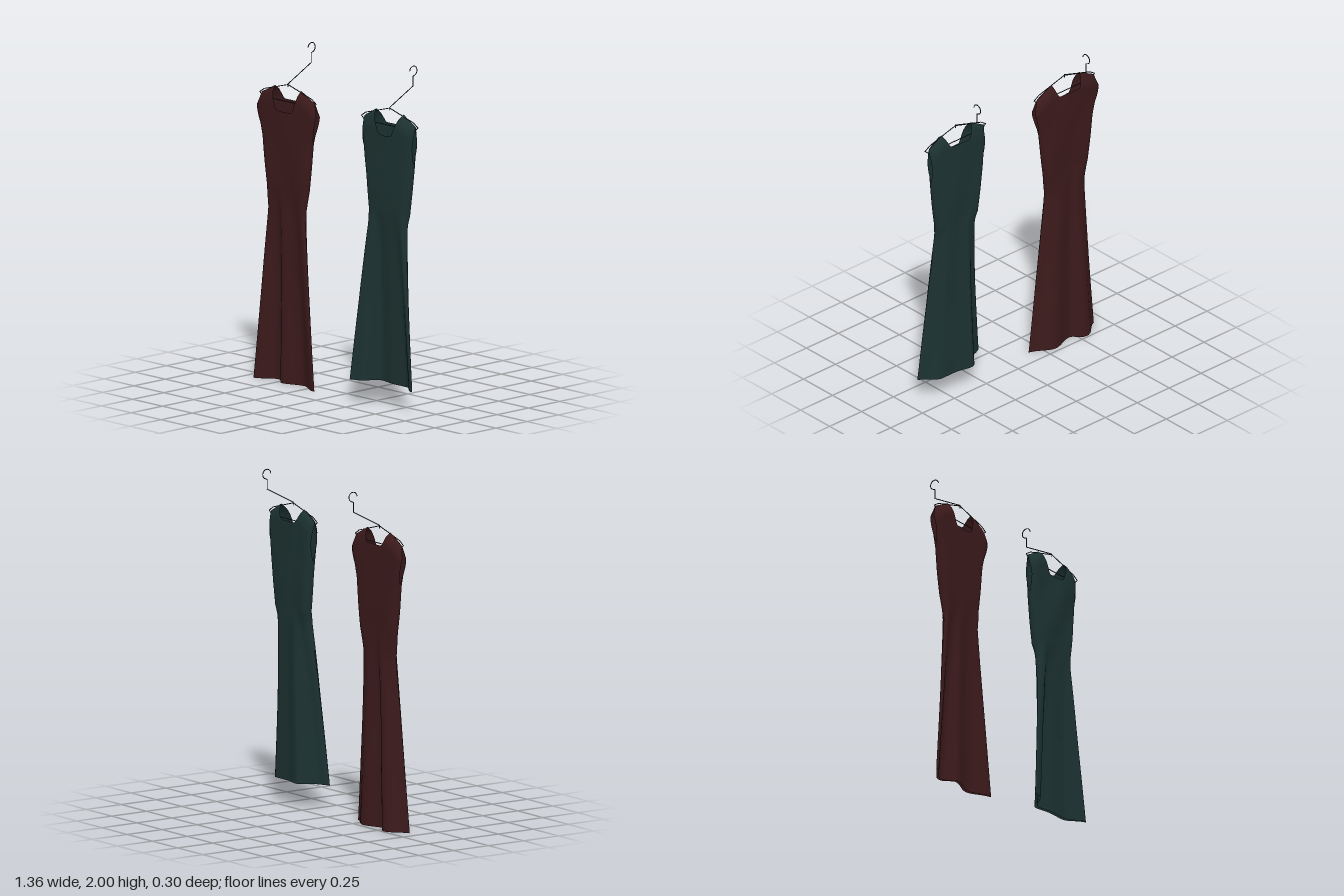
import * as THREE from 'three';
import { mergeGeometries } from 'three/addons/utils/BufferGeometryUtils.js';

const ZC = 0.063; // plane of the hangers and shoulder seams

const material = (name, color, side = THREE.FrontSide) => {
  const m = new THREE.MeshStandardMaterial({ color, side });
  m.name = name;
  return m;
};

const linear = t => t;
const smooth = t => t * t * (3 - 2 * t);

// Lookup in [[key, value], ...], straight or eased between the keys
function lookup(table, k, ease = linear) {
  if (k <= table[0][0]) return table[0][1];
  for (let i = 1; i < table.length; i++) {
    const [a, va] = table[i - 1], [b, vb] = table[i];
    if (k <= b) return va + (vb - va) * ease((k - a) / (b - a));
  }
  return table[table.length - 1][1];
}

// Upper edge height across the half width: neckline, then shoulder slope
const frontTop = [[0, 1.617], [0.27, 1.623], [0.35, 1.665], [0.53, 1.757], [1, 1.7]];
const backTop = [[0, 1.677], [0.33, 1.677], [0.37, 1.69], [0.53, 1.757], [1, 1.7]];
const shoulder = [[0.53, 1.757], [1, 1.7]];

// Half thickness of the dress by height: the skirt hangs almost flat
const thickness = [[0, 0.008], [0.6, 0.014], [1.05, 0.026], [1.3, 0.036]];

// Columns are denser at the neck corners and side seams
const half = [0, 0.05, 0.1, 0.15, 0.2, 0.25, 0.3, 0.35, 0.41, 0.47, 0.53, 0.6, 0.67, 0.74, 0.81, 0.87, 0.92, 0.96, 0.985, 1];
const columns = [...half.slice(1).reverse().map(u => -u), ...half];
const LOWER = 44, UPPER = 18, ARM = 1.42, WAIST = 1.15;

// One cloth panel; sign is +1 for the front and -1 for the back
function panelGeometry(dress, sign) {
  const pos = [], index = [], n = columns.length, rows = LOWER + UPPER;
  for (let r = 0; r <= rows; r++) {
    for (const u of columns) {
      const a = Math.abs(u);
      const top = lookup(sign > 0 ? frontTop : backTop, a);
      const y = r <= LOWER
        ? THREE.MathUtils.lerp(dress.hem, ARM, r / LOWER)
        : THREE.MathUtils.lerp(ARM, top, (r - LOWER) / UPPER);
      // Flat body with rounded sides, opening into armholes
      let f = Math.sqrt(Math.max(0, 1 - a ** 9));
      const t = (y - 1.47) / (1.69 - 1.47);
      if (t > 0 && t < 1) f = Math.max(f, 0.5 * Math.sin(Math.PI * t));
      // Front and back meet along the shoulder seam
      const close = Math.sqrt(THREE.MathUtils.clamp((lookup(shoulder, a) - y) / 0.07, 0, 1));
      // Both layers of the skirt swing together in deep folds towards the hem
      const swing = Math.max(0, (WAIST - y) / (WAIST - dress.hem)) ** 0.6;
      const centre = THREE.MathUtils.lerp(ZC, lookup(dress.hemWave, u, smooth), swing);
      const crease = dress.crease(u, y, sign) * f * (1 - swing);
      const z = centre + sign * (lookup(thickness, y) * f + crease) * close;
      pos.push(u * lookup(dress.width, y), y, z);
    }
  }
  for (let r = 0; r < rows; r++) {
    for (let c = 0; c < n - 1; c++) {
      const i = r * n + c, j = i + 1, k = i + n, l = k + 1;
      if (sign > 0) index.push(i, j, l, i, l, k);
      else index.push(i, l, j, i, k, l);
    }
  }
  const g = new THREE.BufferGeometry();
  g.setAttribute('position', new THREE.Float32BufferAttribute(pos, 3));
  g.setIndex(index);
  g.computeVertexNormals();
  return g;
}

// Thin rods joining successive points
function wireGeometry(points, radius) {
  const up = new THREE.Vector3(0, 1, 0), parts = [];
  for (let i = 1; i < points.length; i++) {
    const a = new THREE.Vector3(...points[i - 1]), b = new THREE.Vector3(...points[i]);
    const d = b.clone().sub(a);
    const g = new THREE.CylinderGeometry(radius, radius, d.length() + radius, 6);
    g.applyQuaternion(new THREE.Quaternion().setFromUnitVectors(up, d.clone().normalize()));
    const m = a.add(b).multiplyScalar(0.5);
    parts.push(g.translate(m.x, m.y, m.z));
  }
  return mergeGeometries(parts);
}

function addMesh(parent, name, geometry, mat) {
  const mesh = new THREE.Mesh(geometry, mat);
  mesh.name = name;
  parent.add(mesh);
}

function hanger(wire) {
  const group = new THREE.Group();
  group.name = 'hanger';
  group.position.x = 0.003;
  // Sloping arms with turned-in tips and a lower bar
  const z = ZC + 0.005;
  addMesh(group, 'hangerFrame', wireGeometry([
    [0, 1.778, z], [0.2, 1.722, z], [0.237, 1.698, z], [0.21, 1.675, z],
    [-0.21, 1.675, z], [-0.237, 1.698, z], [-0.2, 1.722, z], [0, 1.778, z],
  ], 0.0027), wire);
  // Stem leaning backwards, ending in a round hook
  const hook = [[0, 1.765, z], [0, 1.782, z], [0, 1.88, -0.118], [0, 1.937, -0.118]];
  for (let i = 0; i <= 12; i++) {
    const a = -0.9 + i * (3.9 / 12);
    hook.push([0, 1.969 + 0.029 * Math.sin(a), -0.121 - 0.029 * Math.cos(a)]);
  }
  addMesh(group, 'hangerHook', wireGeometry(hook, 0.0027), wire);
  return group;
}

const bump = (u, centre, width) => Math.exp(-(((u - centre) / width) ** 2));

const dresses = [
  {
    name: 'redDress', x: -0.425, hem: 0, colour: ['maroon cloth', 0x3c1a1b],
    width: [[0, 0.255], [0.5, 0.203], [1.03, 0.15], [1.45, 0.203], [1.62, 0.25], [1.7, 0.222], [1.76, 0.205]],
    hemWave: [[-1, 0.098], [-0.5, 0.018], [-0.42, 0.02], [-0.14, 0.075], [0.42, 0.034], [1, 0.098]],
    // Soft creases over the bodice
    crease: (u, y) => 0.003 * Math.sin(u * 4 + y * 9),
  },
  {
    name: 'greenDress', x: 0.428, hem: 0.14, colour: ['dark green cloth', 0x1c3231],
    width: [[0.14, 0.25], [0.6, 0.2], [1.09, 0.15], [1.45, 0.196], [1.62, 0.21], [1.7, 0.215], [1.76, 0.215]],
    hemWave: [[-1, 0.147], [-0.8, 0.132], [-0.36, 0.03], [0.12, 0.05], [0.53, 0.05], [1, 0.124]],
    // Diagonal creases over the chest
    crease: (u, y, s) => (s > 0
      ? 0.008 + 0.008 * bump(y, 1.45, 0.3) * Math.cos((u - y * 2.2) * 4)
      : 0.003 * Math.sin(u * 5 + y * 5)),
  },
];

export function createModel() {
  const model = new THREE.Group();
  model.name = 'dressesOnHangers';
  const wire = material('dark wire', 0x2c2c2e);
  for (const dress of dresses) {
    const group = new THREE.Group();
    group.name = dress.name;
    group.position.x = dress.x;
    const cloth = material(...dress.colour, THREE.DoubleSide);
    addMesh(group, 'frontPanel', panelGeometry(dress, 1), cloth);
    addMesh(group, 'backPanel', panelGeometry(dress, -1), cloth);
    group.add(hanger(wire));
    model.add(group);
  }
  return model;
}
